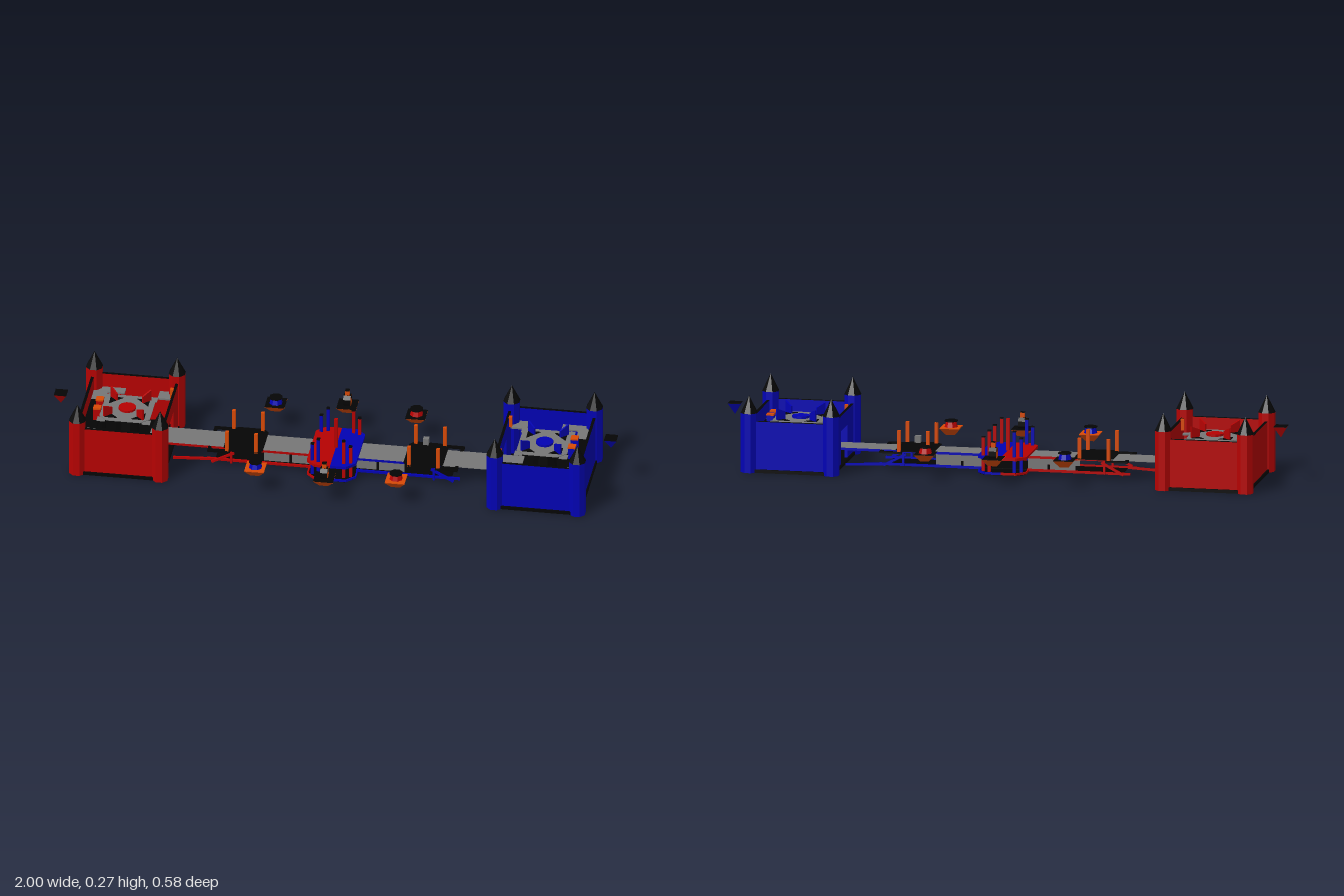
import * as THREE from 'three';

const mat = (name, color) => {
  const m = new THREE.MeshStandardMaterial({ color, flatShading: true });
  m.name = name;
  return m;
};

export function createModel() {
  const red = mat('red', 0xb60202), blue = mat('blue', 0x0202b4), orange = mat('orange', 0xd84a06);
  const grey = mat('grey', 0x777777), black = mat('black', 0x050505);

  const add = (parent, name, geo, m, x = 0, y = 0, z = 0) => {
    const mesh = new THREE.Mesh(geo, m);
    mesh.name = name;
    mesh.position.set(x, y, z);
    parent.add(mesh);
    return mesh;
  };
  // box given by its centre in x and z and its bottom and top in y
  const box = (p, name, m, x, z, w, d, y0, y1) =>
    add(p, name, new THREE.BoxGeometry(w, y1 - y0, d), m, x, (y0 + y1) / 2, z);
  const prism = (p, name, m, x, z, rTop, rBottom, y0, y1, sides = 8) =>
    add(p, name, new THREE.CylinderGeometry(rTop, rBottom, y1 - y0, sides).rotateY(Math.PI / sides), m, x, (y0 + y1) / 2, z);
  const extrude = (pts, depth) =>
    new THREE.ExtrudeGeometry(new THREE.Shape(pts.map(a => new THREE.Vector2(...a))), { depth, bevelEnabled: false });
  // thin slab with its underside at height y, points as [x, z]
  const slab = (p, name, m, pts, y) =>
    add(p, name, extrude(pts.map(([x, z]) => [x, -z]), 0.002).rotateX(-Math.PI / 2), m, 0, y, 0);
  // thin bar from one point to another in a plane of constant z
  const bar = (p, name, m, x0, y0, x1, y1, z, t = 0.008) => {
    const b = add(p, name, new THREE.BoxGeometry(Math.hypot(x1 - x0, y1 - y0), t, t), m, (x0 + x1) / 2, (y0 + y1) / 2, z);
    b.rotation.z = Math.atan2(y1 - y0, x1 - x0);
  };
  // strip along x that shows only from the front (+z)
  const strip = (p, name, m, x0, x1, y, z) =>
    add(p, name, new THREE.PlaneGeometry(x1 - x0, 0.009), m, (x0 + x1) / 2, y, z);

  function castle(p, main) {
    const g = new THREE.Group();
    g.name = 'castle';
    g.position.x = -0.742;
    p.add(g);
    box(g, 'castleFloor', black, 0, 0, 0.32, 0.41, 0, 0.012);
    // walls, with a gate facing the bridge
    for (const s of [-1, 1]) {
      box(g, 'sideWall', main, 0, s * 0.195, 0.3, 0.01, 0.012, 0.183);
      box(g, 'gateWall', main, 0.15, s * 0.125, 0.01, 0.14, 0.012, 0.183);
      box(g, 'wallCap', black, 0, s * 0.195, 0.3, 0.01, 0.183, 0.184);
    }
    box(g, 'gateLintel', main, 0.15, 0, 0.01, 0.12, 0.13, 0.183);
    box(g, 'gateCap', black, 0.15, 0, 0.01, 0.39, 0.183, 0.184);
    box(g, 'backWall', main, -0.15, 0, 0.01, 0.39, 0.012, 0.183);
    box(g, 'backCap', black, -0.15, 0, 0.01, 0.39, 0.183, 0.184);
    // corner towers with pointed roofs
    for (const sx of [-1, 1]) for (const sz of [-1, 1]) {
      prism(g, 'tower', main, sx * 0.147, sz * 0.188, 0.03, 0.03, 0, 0.212);
      prism(g, 'towerRoof', black, sx * 0.147, sz * 0.188, 0, 0.031, 0.212, 0.274);
    }
    // raised walkways in the corners
    for (const s of [-1, 1]) {
      box(g, 'backWalkway', grey, -0.12, s * 0.145, 0.05, 0.09, 0.125, 0.131);
      box(g, 'sideWalkway', grey, -0.065, s * 0.173, 0.06, 0.034, 0.125, 0.131);
      box(g, 'gateWalkway', grey, 0.115, s * 0.165, 0.06, 0.05, 0.125, 0.131);
      box(g, 'walkwayPost', black, -0.1, s * 0.11, 0.012, 0.012, 0.012, 0.125);
      box(g, 'backPost', main, -0.102, s * 0.03, 0.026, 0.026, 0.13, 0.172);
      box(g, 'backPostTop', orange, -0.102, s * 0.03, 0.027, 0.027, 0.172, 0.178);
      box(g, 'gateLamp', orange, 0.14, s * 0.115, 0.012, 0.014, 0.15, 0.189);
    }
    box(g, 'backLedge', black, -0.12, 0, 0.05, 0.2, 0.125, 0.13);
    // central platform with triangular inlays and corner wedges
    prism(g, 'platformColumn', black, 0, 0, 0.035, 0.05, 0.012, 0.16);
    const octagon = [[-.09, -.06], [-.09, .06], [-.06, .09], [.06, .09], [.09, .06], [.09, -.06], [.06, -.09], [-.06, -.09]];
    slab(g, 'platform', grey, octagon, 0.16);
    prism(g, 'platformCentre', main, 0, 0, 0.031, 0.031, 0.162, 0.17, 12);
    for (const sx of [-1, 1]) for (const sz of [-1, 1]) {
      slab(g, 'platformInlay', black, [[sx * .07, sz * .025], [sx * .07, sz * .07], [sx * .025, sz * .07]], 0.162);
      slab(g, 'platformCorner', grey, [[sx * .065, sz * .065], [sx * .095, sz * .065], [sx * .095, sz * .095], [sx * .065, sz * .095]], 0.158);
      const wedge = extrude([[0.064, 0.164], [0.1, 0.164], [0.1, 0.205], [0.064, 0.19]], 0.006);
      add(g, 'platformWedge', wedge, main).rotation.y = -Math.atan2(sz, sx);
    }
    box(g, 'gatePath', grey, 0.125, 0, 0.09, 0.11, 0.064, 0.068);
    // floating marker behind the castle
    prism(g, 'floatingMarker', main, -0.236, 0, 0.031, 0.001, 0.165, 0.204, 4);
    box(g, 'markerTop', black, -0.236, 0, 0.044, 0.044, 0.204, 0.206);
  }

  const islandBase = (p, x, z, topMat) => {
    const g = new THREE.Group();
    g.name = 'floatingIsland';
    g.position.set(x, 0, z);
    p.add(g);
    prism(g, 'islandBase', orange, 0, 0, 0.05, 0.022, 0.075, 0.1, 4);
    box(g, 'islandTop', topMat, 0, 0, 0.07, 0.07, 0.1, 0.102);
    return g;
  };
  function hutIsland(p, x, z, main, topMat) {
    const g = islandBase(p, x, z, topMat);
    prism(g, 'islandHut', main, 0, 0, 0.018, 0.024, 0.102, 0.122);
    prism(g, 'hutRoof', black, 0, 0, 0.024, 0.024, 0.122, 0.126);
  }
  function portalIsland(p, x, z) {
    const g = islandBase(p, x, z, black);
    // upright octagon with a black rim, a mast and a window
    const portal = new THREE.CylinderGeometry(0.022, 0.022, 0.026, 8).rotateY(Math.PI / 8).rotateZ(Math.PI / 2);
    add(g, 'portal', portal, [black, orange, orange], 0, 0.12, 0);
    box(g, 'portalMast', orange, 0, 0, 0.015, 0.015, 0.138, 0.158);
    box(g, 'mastCap', black, 0, 0, 0.016, 0.016, 0.158, 0.16);
    box(g, 'portalWindow', black, 0, 0, 0.028, 0.014, 0.125, 0.138);
  }

  // one half of the layout, at -x; the other half is turned about y
  function half(main, other) {
    const g = new THREE.Group();
    g.name = 'fortressHalf';
    castle(g, main);

    // bridge deck, lower deck and edge trims
    box(g, 'bridgeDeck', grey, -0.3, 0, 0.6, 0.11, 0.066, 0.068);
    box(g, 'lowerDeck', black, -0.21, 0, 0.42, 0.09, 0.018, 0.02);
    strip(g, 'deckTrim', main, -0.59, -0.08, 0.067, 0.056);
    strip(g, 'farDeckTrim', other, 0.08, 0.38, 0.067, 0.057);
    bar(g, 'rampTrim', main, -0.57, 0.012, -0.42, 0.02, 0.055);
    for (const s of [-1, 1]) {
      bar(g, 'lowerTrim', main, -0.45, 0.02, -0.08, 0.02, s * 0.055);
      box(g, 'supportPanel', grey, -0.205, s * 0.04, 0.09, 0.004, 0.022, 0.066);
      box(g, 'innerPanel', grey, -0.115, s * 0.04, 0.07, 0.004, 0.022, 0.066);
      // railings around the landing
      bar(g, 'landingStrut', main, -0.43, 0.02, -0.35, 0.062, s * 0.076);
      box(g, 'landingRail', black, -0.405, s * 0.079, 0.08, 0.013, 0.064, 0.07);
      box(g, 'railEnd', black, -0.439, s * 0.068, 0.012, 0.03, 0.064, 0.07);
      box(g, 'landingLeg', main, -0.36, s * 0.076, 0.007, 0.007, 0.02, 0.066);
      for (const x of [-0.375, -0.272])
        box(g, 'landingPost', orange, x, s * 0.075, 0.012, 0.012, 0.068, 0.147);
      // side islands
      hutIsland(g, -0.25, s * 0.225, other, s * (main === red ? 1 : -1) > 0 ? orange : black);
    }
    slab(g, 'landing', black, [[-.39, -.06], [-.39, .06], [-.36, .085], [-.27, .085], [-.25, .065], [-.25, -.065], [-.27, -.085], [-.36, -.085]], 0.072);

    // half of the central arena
    const edge = [[0, -.13], [-.055, -.13], [-.085, -.1], [-.085, .1], [-.055, .13], [0, .13]];
    slab(g, 'arenaFloor', main, edge, 0.074);
    slab(g, 'arenaUnderside', black, edge, 0.012);
    for (let i = 0; i < edge.length - 1; i++) {
      const [ax, az] = edge[i], [bx, bz] = edge[i + 1], len = Math.hypot(bx - ax, bz - az);
      for (const [y0, y1] of [[0.014, 0.022], [0.066, 0.076]]) {
        const rim = box(g, 'arenaRim', main, (ax + bx) / 2, (az + bz) / 2, len, 0.005, y0, y1);
        rim.rotation.y = -Math.atan2(bz - az, bx - ax);
      }
    }
    for (const s of [-1, 1])
      for (const [x, z, h] of [[-0.068, 0.1, 0.14], [-0.045, 0.108, 0.165]]) {
        box(g, 'arenaPost', other, x, s * z, 0.011, 0.011, 0.02, h);
        box(g, 'arenaPostCap', black, x, s * z, 0.012, 0.012, h, h + 0.004);
      }
    portalIsland(g, 0, -0.255);
    return g;
  }

  const model = new THREE.Group();
  model.name = 'twinFortresses';
  const redHalf = half(red, blue), blueHalf = half(blue, red);
  blueHalf.rotation.y = Math.PI;
  model.add(redHalf, blueHalf);

  // single details on the bridge
  box(model, 'centreMast', red, 0, 0, 0.012, 0.012, 0.074, 0.19);
  box(model, 'floatingBlock', grey, 0.315, -0.035, 0.02, 0.02, 0.098, 0.122);
  return model;
}
